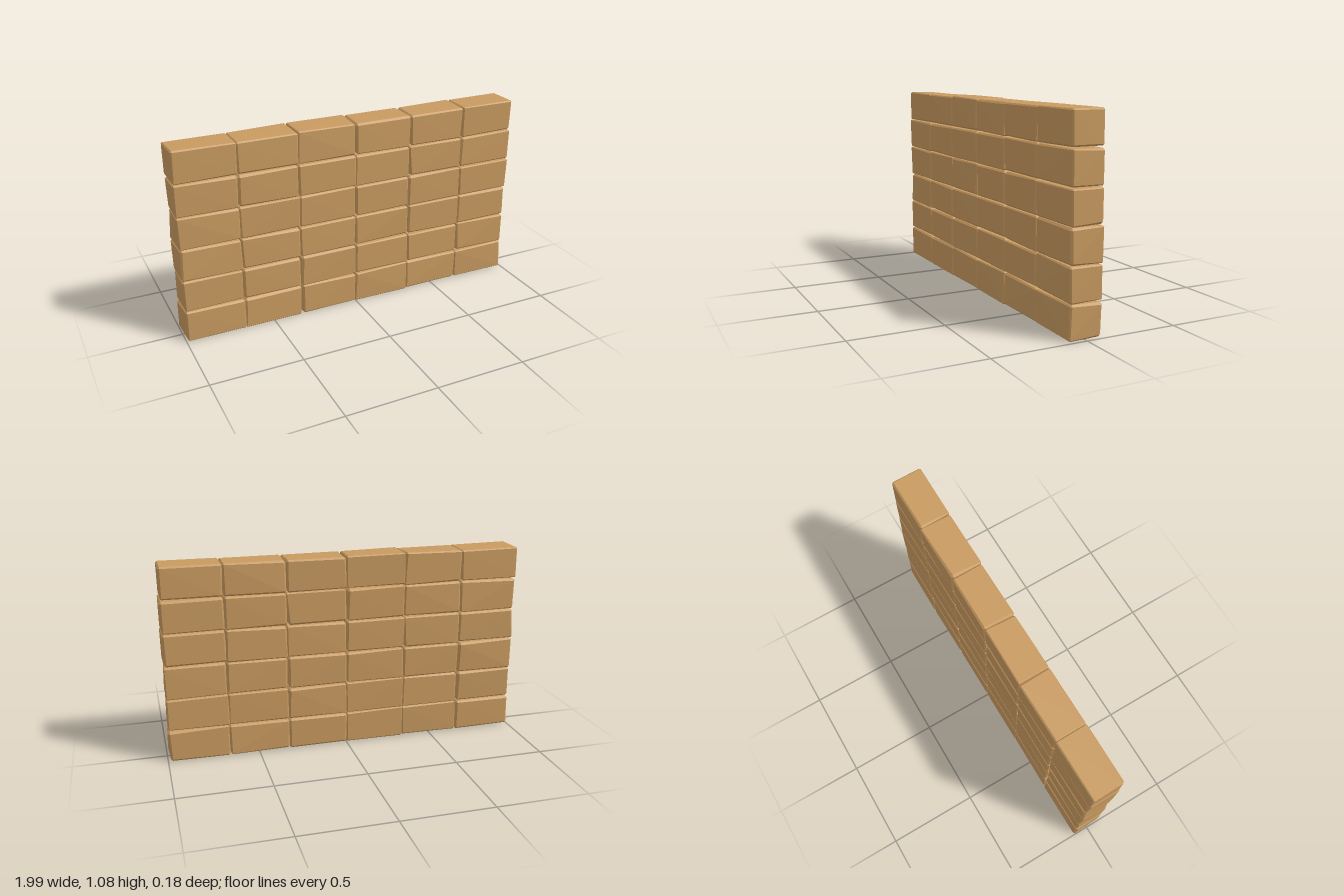
import * as THREE from 'three';
import { ConvexGeometry } from 'three/addons/geometries/ConvexGeometry.js';

const COLS = 6, ROWS = 6;
const PITCH_X = 0.331, PITCH_Y = 0.1795;
const HALF = [0.1635, 0.0868, 0.0875]; // half size of one brick
const BEVEL = 0.008;

// Small seeded generator, returns -1..1
function seeded(seed) {
  let s = seed;
  return () => {
    s = (s * 16807) % 2147483647;
    return (s / 2147483647) * 2 - 1;
  };
}

// Hand-cut brick: eight nudged corners, each chamfered into three points
function brickGeometry(rand) {
  const points = [];
  for (const sx of [-1, 1]) for (const sy of [-1, 1]) for (const sz of [-1, 1]) {
    const corner = new THREE.Vector3(
      sx * HALF[0] + rand() * 0.005,
      sy * HALF[1] + rand() * 0.003,
      sz * HALF[2] + rand() * 0.003
    );
    const b = BEVEL + rand() * 0.004;
    points.push(
      corner.clone().add(new THREE.Vector3(0, -sy * b, -sz * b)),
      corner.clone().add(new THREE.Vector3(-sx * b, 0, -sz * b)),
      corner.clone().add(new THREE.Vector3(-sx * b, -sy * b, 0))
    );
  }
  return new ConvexGeometry(points);
}

export function createModel() {
  const wall = new THREE.Group();
  wall.name = 'brickWall';
  const material = new THREE.MeshStandardMaterial({ color: 0xc89a60, flatShading: true });
  const rand = seeded(4711);

  // Straight stacked courses of bricks
  for (let r = 0; r < ROWS; r++) {
    const course = new THREE.Group();
    course.name = `course${r + 1}`;
    course.position.y = 0.0965 + r * PITCH_Y;
    for (let c = 0; c < COLS; c++) {
      const brick = new THREE.Mesh(brickGeometry(rand), material);
      brick.name = `brick${r + 1}_${c + 1}`;
      brick.position.x = (c - (COLS - 1) / 2) * PITCH_X - 0.002;
      course.add(brick);
    }
    wall.add(course);
  }
  return wall;
}
